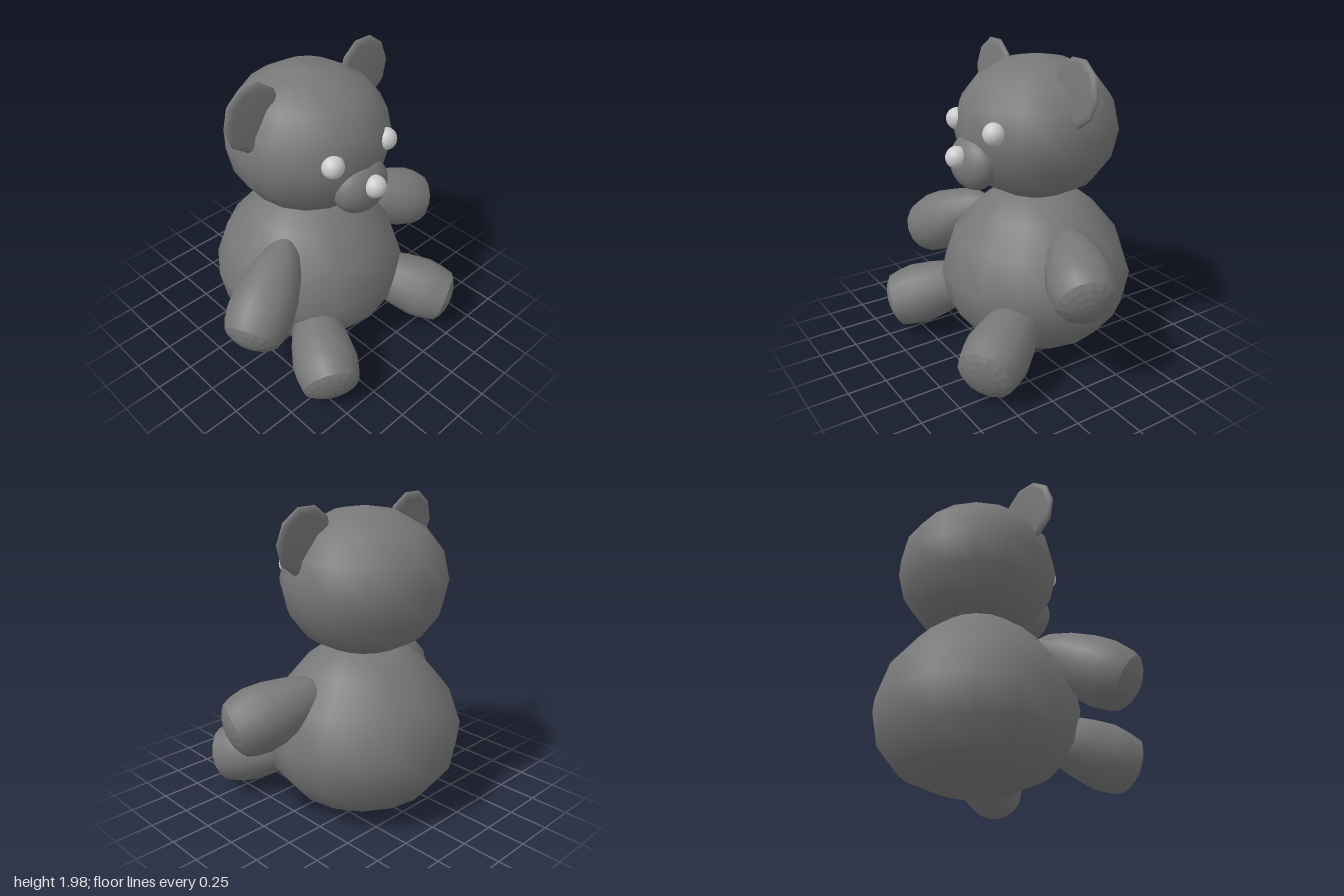
import * as THREE from 'three';

const fur = new THREE.MeshStandardMaterial({ color: 0x777777 });
const padMat = new THREE.MeshStandardMaterial({ color: 0x777777, flatShading: true });
const bead = new THREE.MeshStandardMaterial({ color: 0xcccccc });

// Turned shape from [radius, height] pairs, bottom to top
function turned(name, profile, segments, material = fur) {
  const points = profile.map(([r, y]) => new THREE.Vector2(r, y));
  const mesh = new THREE.Mesh(new THREE.LatheGeometry(points, segments), material);
  mesh.name = name;
  return mesh;
}

function ball(name, [x, y, z], [rx, ry, rz], material) {
  const mesh = new THREE.Mesh(new THREE.SphereGeometry(1, 24, 16), material);
  mesh.name = name;
  mesh.position.set(x, y, z);
  mesh.scale.set(rx, ry, rz);
  return mesh;
}

// Limb from a joint to the centre of its pad; profile is [radius, fraction of length]
function limb(name, from, to, profile) {
  const a = new THREE.Vector3(...from), b = new THREE.Vector3(...to);
  const axis = b.clone().sub(a), length = axis.length();
  const group = new THREE.Group();
  group.name = name;
  group.add(turned('sleeve', profile.map(([r, t]) => [r, t * length]), 14));

  // Shallow faceted dome closing the end
  const [rim, t] = profile[profile.length - 1];
  const dome = [[1, 0], [0.82, 0.4], [0.55, 0.75], [0.28, 0.94], [0, 1]]
    .map(([r, h]) => [r * rim, (t + h * (1 - t)) * length]);
  group.add(turned('pad', dome, 14, padMat));

  group.position.copy(a);
  group.quaternion.setFromUnitVectors(new THREE.Vector3(0, 1, 0), axis.normalize());
  return group;
}

export function createModel() {
  const model = new THREE.Group();
  model.name = 'teddyBear';

  // Pear-shaped body
  const body = turned('body', [[0, 0.01], [0.24, 0.04], [0.46, 0.14], [0.59, 0.31],
    [0.63, 0.53], [0.55, 0.77], [0.385, 0.97], [0.23, 1.09], [0, 1.14]], 16);
  body.position.x = -0.135;
  body.scale.z = 1.03;
  model.add(body);

  // Slightly flattened head
  const head = turned('head', [[0, 1.05], [0.225, 1.09], [0.375, 1.17], [0.485, 1.32],
    [0.525, 1.5], [0.485, 1.68], [0.375, 1.82], [0.2, 1.92], [0, 1.955]], 16);
  head.position.x = -0.135;
  model.add(head);

  // Muzzle and nose, facing +x
  const muzzle = ball('muzzle', [0.325, 1.34, 0], [0.13, 0.175, 0.2], fur);
  muzzle.rotation.z = 0.15;
  model.add(muzzle);
  model.add(ball('nose', [0.445, 1.385, 0], [0.07, 0.07, 0.07], bead));

  // Eyes and thin round ears
  for (const side of [1, -1]) {
    model.add(ball('eye', [0.315, 1.56, side * 0.22], [0.068, 0.07, 0.07], bead));
    const ear = turned('ear', [[0, -0.024], [0.165, -0.024], [0.195, -0.012], [0.208, 0],
      [0.195, 0.012], [0.165, 0.024], [0, 0.024]], 10);
    ear.position.set(-0.098, 1.795, side * 0.447);
    ear.rotation.z = -Math.PI / 2 + 0.1;
    model.add(ear);
  }

  // Arms widen from the shoulder to the paw
  const armProfile = [[0.05, 0], [0.11, 0.1], [0.165, 0.3], [0.2, 0.52], [0.21, 0.7],
    [0.195, 0.83], [0.172, 0.91]];
  model.add(limb('leftArm', [0.04, 0.91, 0.34], [0.29, 0.555, 0.9], armProfile));
  model.add(limb('rightArm', [-0.13, 0.87, -0.34], [0.12, 0.66, -0.91], armProfile));

  // Legs stretched forward, splayed apart
  const legProfile = [[0.12, 0], [0.16, 0.12], [0.19, 0.35], [0.21, 0.6], [0.2, 0.75],
    [0.18, 0.9]];
  model.add(limb('leftLeg', [0.24, 0.38, 0.31], [0.7, 0.215, 0.57], legProfile));
  model.add(limb('rightLeg', [0.19, 0.38, -0.32], [0.67, 0.215, -0.61], legProfile));

  return model;
}
